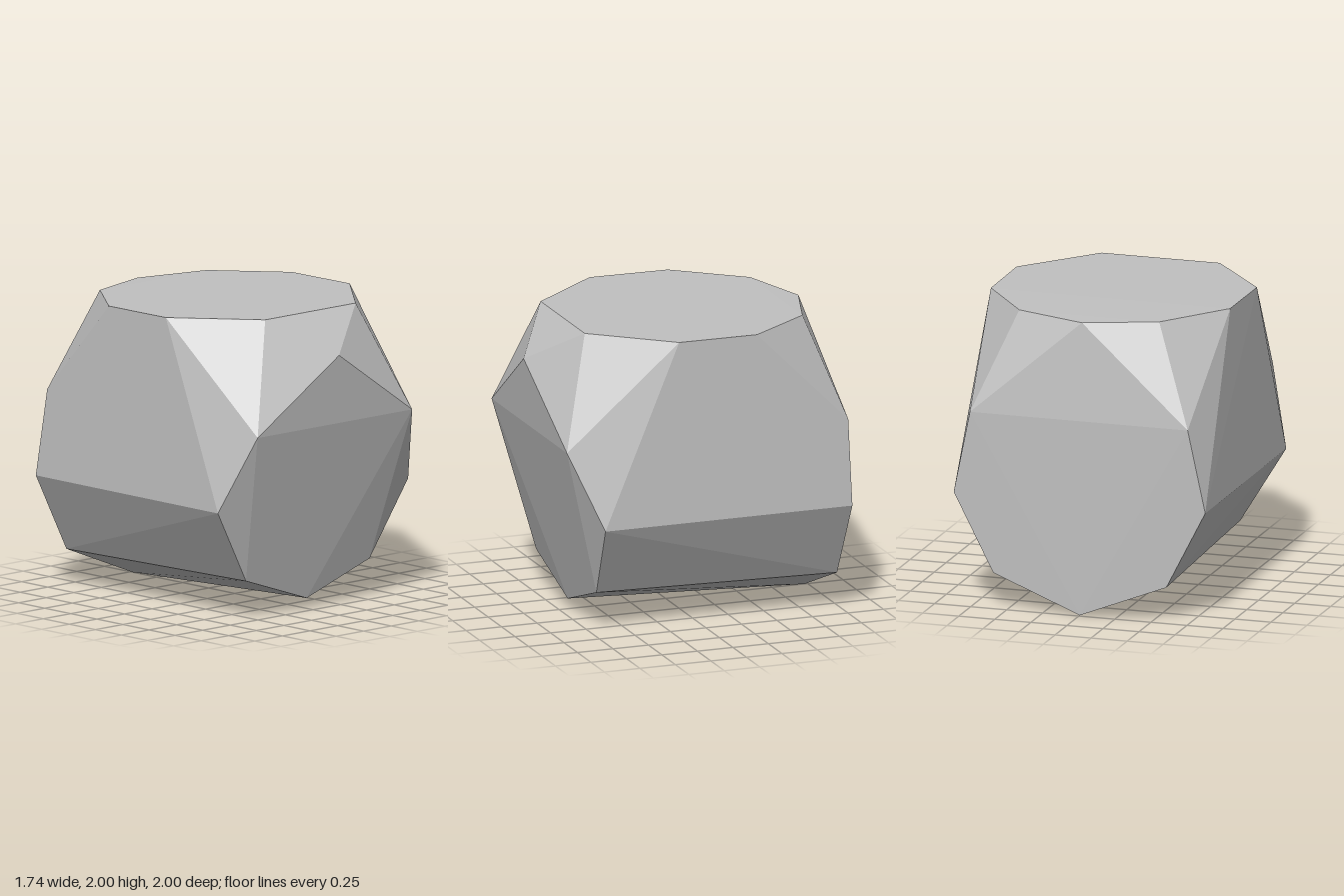
import * as THREE from 'three';
import { ConvexGeometry } from 'three/addons/geometries/ConvexGeometry.js';

// Corners on the centre line and on one side; the side ones are mirrored
const frontFace = [[0, 1.745, 1], [0.7, 1.28, 0.96], [0.862, 0.765, 0.75], [0.56, 0.262, 0.7], [0, 0.07, 0.69]];
const topFace = [[0.41, 2, 0.725], [0.833, 2, 0.22], [0.83, 1.997, -0.33], [0.485, 1.992, -0.78], [0, 1.985, -0.935]];
const backFace = [[0.755, 1.33, -1], [0.872, 0.77, -0.985], [0.6, 0.24, -0.98], [0, 0, -0.98]];

export function createModel() {
  const stone = new THREE.MeshStandardMaterial({ color: 0xc0c0c0 });
  stone.name = 'stone grey';
  stone.flatShading = true;

  const points = [];
  for (const [x, y, z] of [...frontFace, ...topFace, ...backFace]) {
    points.push(new THREE.Vector3(x, y, z));
    if (x > 0) points.push(new THREE.Vector3(-x, y, z));
  }

  // Faceted block: hull around the three cut faces
  const block = new THREE.Mesh(new ConvexGeometry(points), stone);
  block.name = 'facetedBlock';

  const group = new THREE.Group();
  group.name = 'facetedStone';
  group.add(block);
  return group;
}
